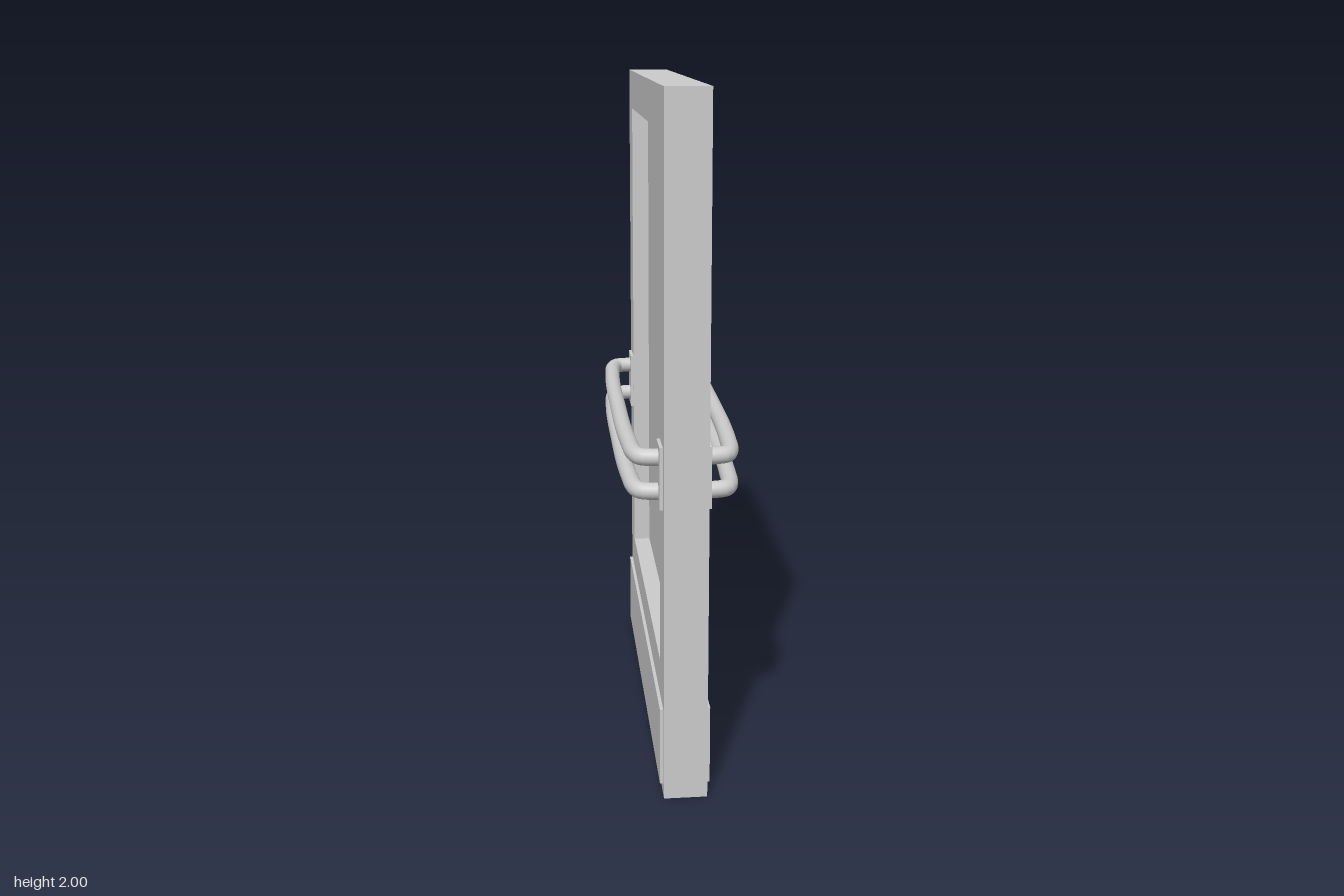
import * as THREE from 'three';

const HALF_T = 0.0625; // half thickness of the door leaf
const FACE = 0.072;    // outer face of the applied plates

export function createModel() {
  const group = new THREE.Group();
  const material = new THREE.MeshStandardMaterial({ color: 0xcccccc });

  const add = (name, geometry, x = 0, y = 0, z = 0) => {
    const mesh = new THREE.Mesh(geometry, material);
    mesh.name = name;
    mesh.position.set(x, y, z);
    group.add(mesh);
    return mesh;
  };
  const rect = (path, w, y0, y1) =>
    path.moveTo(-w, y0).lineTo(w, y0).lineTo(w, y1).lineTo(-w, y1).closePath();

  // Door leaf with a window opening
  const leaf = rect(new THREE.Shape(), 0.625, 0, 2);
  leaf.holes.push(rect(new THREE.Path(), 0.502, 0.376, 1.88));
  const frame = new THREE.ExtrudeGeometry(leaf, { depth: HALF_T * 2, bevelEnabled: false });
  frame.translate(0, 0, -HALF_T).rotateY(Math.PI / 2);
  add('doorFrame', frame);

  // Recessed window pane
  add('windowPane', new THREE.BoxGeometry(0.02, 1.504, 1.004), 0, 1.128, 0);

  // Centreline of half a push bar, from the end on the door to the middle: [x, z]
  const half = [[0.06, 0.549], [0.09, 0.547], [0.12, 0.537], [0.134, 0.5], [0.141, 0.41], [0.147, 0.25]];
  const barPoints = [
    ...half,
    [0.148, 0],
    ...half.map(([x, z]) => [x, -z]).reverse(),
  ];

  for (const [side, s] of [['left', 1], ['right', -1]]) {
    const plateX = s * (HALF_T + FACE - 0.01) / 2;
    const plateT = FACE - HALF_T + 0.01;

    // Kick plate along the bottom
    add(`${side}KickPlate`, new THREE.BoxGeometry(plateT, 0.234, 1.204), plateX, 0.152, 0);

    // Mounting plates at both ends of the bars
    for (const [end, e] of [['Front', 1], ['Back', -1]]) {
      add(`${side}${end}MountingPlate`, new THREE.BoxGeometry(plateT, 0.178, 0.093), plateX, 0.954, e * 0.55);
    }

    // Pair of bent push bars
    const curve = new THREE.CatmullRomCurve3(
      barPoints.map(([x, z]) => new THREE.Vector3(s * x, 0, z)), false, 'centripetal');
    const bar = new THREE.TubeGeometry(curve, 96, 0.024, 20);
    add(`${side}UpperPushBar`, bar, 0, 1.003, 0);
    add(`${side}LowerPushBar`, bar, 0, 0.905, 0);
  }
  return group;
}
